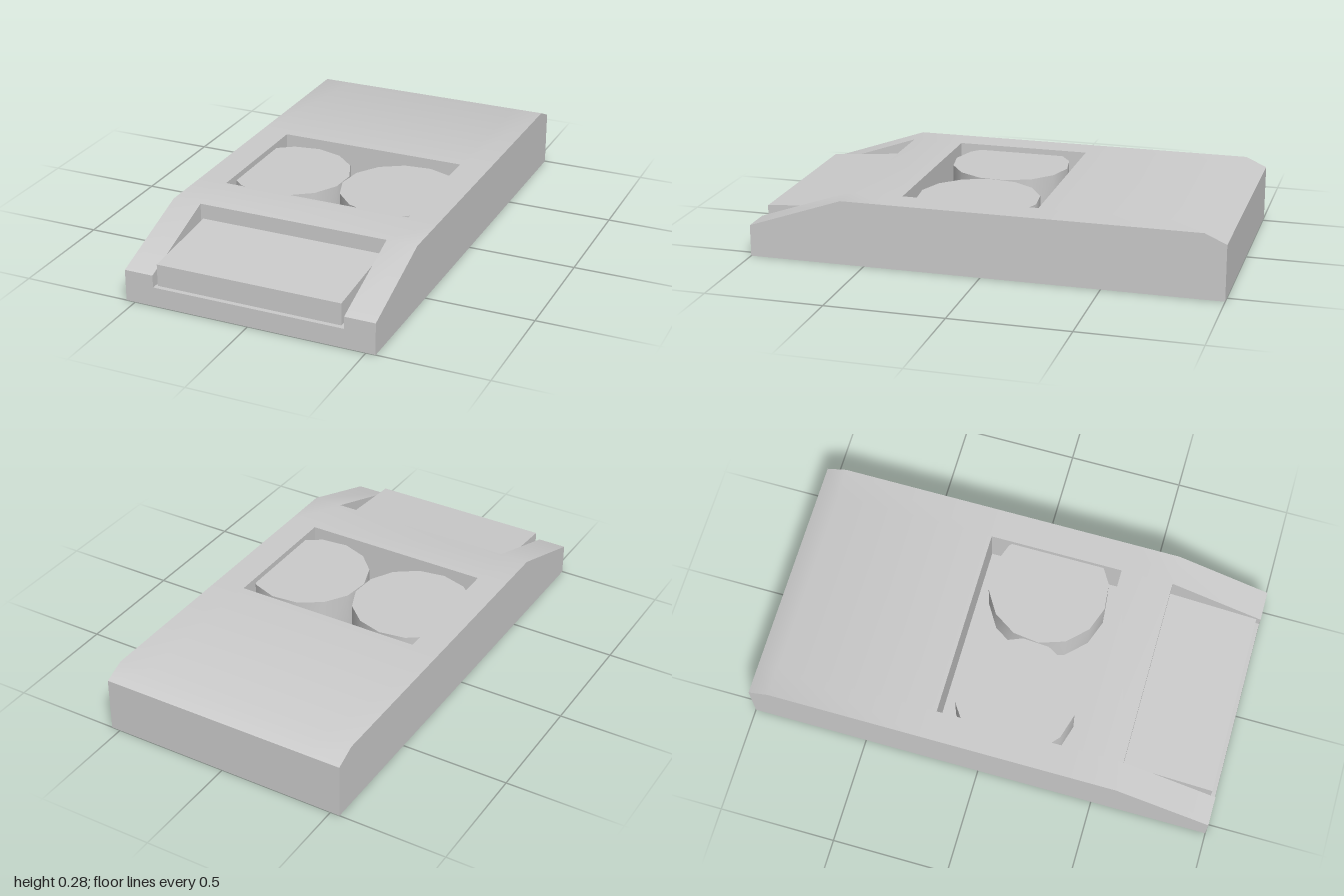
import * as THREE from 'three';
import { toCreasedNormals } from 'three/addons/utils/BufferGeometryUtils.js';

const material = new THREE.MeshStandardMaterial({ color: 0xcccccc });
const W = 0.54, L = -0.415, R = 0.41; // half width, left and right limits of the recesses
const H = 0.275, FLOOR = 0.083;

// Profiles as [z, y], running over the top from front to back
const side = [[1, 0], [1, 0.135], [0.595, H], [0.37, H], [-0.21, H], [-0.91, H], [-1, 0.235], [-1, 0]];
const middle = [[1, 0], [1, FLOOR], [0.595, FLOOR], [0.595, H], [0.37, H], [0.37, FLOOR],
  [-0.21, FLOOR], [-0.21, H], [-0.91, H], [-1, 0.235], [-1, 0]];
const notchWall = [[1, FLOOR], [1, 0.135], [0.595, H], [0.595, FLOOR]];
const wellWall = [[0.37, FLOOR], [0.37, H], [-0.21, H], [-0.21, FLOOR]];
const wedge = [[0.98, FLOOR], [0.98, 0.177], [0.595, 0.21], [0.595, FLOOR]];

// Sweep a closed profile across x, leaving the ends open
function strip(out, profile, x0, x1) {
  profile.forEach(([z, y], i) => {
    const [z2, y2] = profile[(i + 1) % profile.length];
    out.push(x0, y, z, x1, y, z, x1, y2, z2, x0, y, z, x1, y2, z2, x0, y2, z2);
  });
}

// Flat face across x, looking towards +x (dir 1) or -x (dir -1)
function face(out, profile, x, dir) {
  const points = profile.map(([z, y]) => new THREE.Vector2(z, y));
  for (const tri of THREE.ShapeUtils.triangulateShape(points, [])) {
    const [a, b, c] = tri.map((i) => points[i]);
    const area = (b.x - a.x) * (c.y - a.y) - (b.y - a.y) * (c.x - a.x);
    // counter-clockwise in (z, y) looks towards -x
    const order = (area > 0) === (dir < 0) ? [a, b, c] : [a, c, b];
    for (const p of order) out.push(x, p.y, p.x);
  }
}

function makeMesh(name, positions) {
  const geometry = new THREE.BufferGeometry();
  geometry.setAttribute('position', new THREE.Float32BufferAttribute(positions, 3));
  const mesh = new THREE.Mesh(toCreasedNormals(geometry, Math.PI / 6), material);
  mesh.name = name;
  return mesh;
}

export function createModel() {
  const group = new THREE.Group();
  group.name = 'slopedConsole';

  // Body with a square well on top and a notch open to the front
  const body = [];
  strip(body, side, -W, L);
  strip(body, middle, L, R);
  strip(body, side, R, W);
  face(body, side, -W, -1);
  face(body, side, W, 1);
  for (const wall of [notchWall, wellWall]) {
    face(body, wall, L, 1);
    face(body, wall, R, -1);
  }
  group.add(makeMesh('body', body));

  // Sloping block inside the front notch
  const block = [];
  strip(block, wedge, -0.405, 0.39);
  face(block, wedge, -0.405, -1);
  face(block, wedge, 0.39, 1);
  group.add(makeMesh('frontBlock', block));

  // Two fourteen-sided drums in the well, touching in the middle
  const top = 0.25;
  for (const [name, x, angle] of [['rightDrum', -0.25, 86.6], ['leftDrum', 0.26, 83]]) {
    const geometry = new THREE.CylinderGeometry(0.258, 0.258, top - FLOOR, 14);
    const drum = new THREE.Mesh(toCreasedNormals(geometry, Math.PI / 6), material);
    drum.name = name;
    drum.position.set(x, (top + FLOOR) / 2, 0.088);
    drum.rotation.y = THREE.MathUtils.degToRad(angle + 90);
    group.add(drum);
  }
  return group;
}
